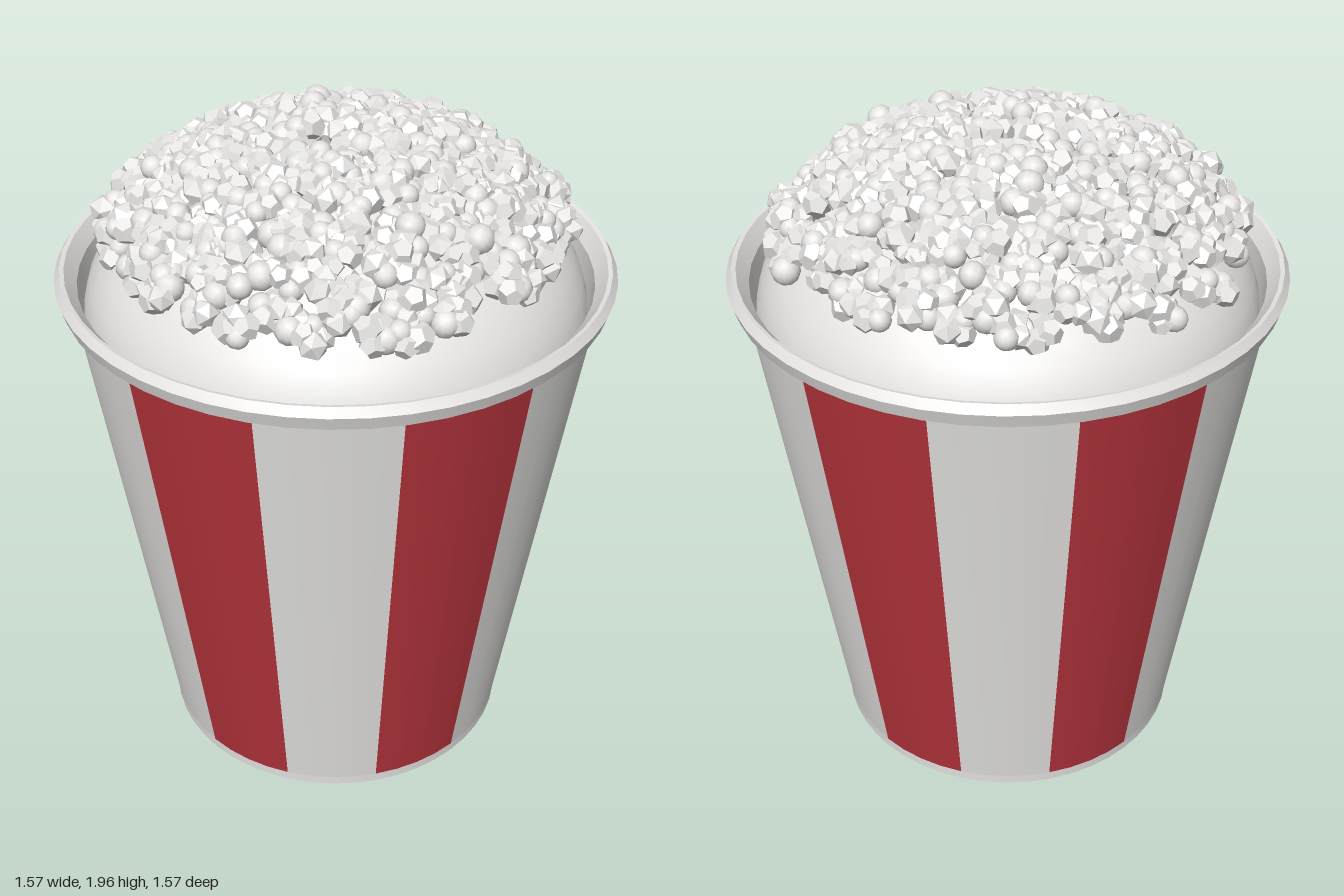
import * as THREE from 'three';
import { mergeGeometries, toCreasedNormals } from 'three/addons/utils/BufferGeometryUtils.js';

const SEGMENTS = 48;
const STRIPES = 12;

function material(name, color, options = {}) {
  const m = new THREE.MeshStandardMaterial({ color, ...options });
  m.name = name;
  return m;
}

function mesh(name, geometry, mat) {
  const m = new THREE.Mesh(geometry, mat);
  m.name = name;
  return m;
}

// Small seeded generator
function seeded(seed) {
  return () => {
    seed = (seed * 16807) % 2147483647;
    return seed / 2147483647;
  };
}

// Turned part with sharp profile corners
function turned(points, segments = SEGMENTS, start = 0, sweep = Math.PI * 2) {
  const profile = points.map(([r, y]) => new THREE.Vector2(r, y));
  return toCreasedNormals(new THREE.LatheGeometry(profile, segments, start, sweep), 0.35);
}

// Heap surface: half an ellipsoid
const HEAP = { radius: 0.71, base: 1.4, height: 0.46 };
const heapY = r => HEAP.base + HEAP.height * Math.sqrt(Math.max(0, 1 - (r / HEAP.radius) ** 2));

// One kernel: a few faceted lumps and one round one, around a small centre
function kernelGeometry(rand) {
  const parts = [];
  const count = 4;
  const turn = rand() * Math.PI * 2;
  for (let i = 0; i < count; i++) {
    const size = 0.031 + rand() * 0.01;
    let lump;
    if (i === 0) {
      lump = new THREE.SphereGeometry(size, 10, 7).toNonIndexed();
    } else if (rand() < 0.6) {
      lump = new THREE.DodecahedronGeometry(size * 1.05);
    } else {
      lump = new THREE.IcosahedronGeometry(size * 1.1);
    }
    lump.rotateX(rand() * 6).rotateZ(rand() * 6);
    const a = turn + (i / count) * Math.PI * 2;
    lump.translate(Math.cos(a) * 0.025, (rand() - 0.4) * 0.035, Math.sin(a) * 0.025);
    parts.push(lump);
  }
  return mergeGeometries(parts);
}

// Kernels spread over the heap on a sunflower spiral
function popcornGeometry() {
  const rand = seeded(4217);
  const total = 260;
  const parts = [];
  const up = new THREE.Vector3(0, 1, 0);
  for (let i = 0; i < total; i++) {
    const r = 0.62 * Math.sqrt((i + 4) / (total + 3)) + (rand() - 0.5) * 0.03;
    const a = i * 2.39996 + (rand() - 0.5) * 0.12;
    const x = r * Math.sin(a), z = r * Math.cos(a);
    const y = heapY(r);
    const normal = new THREE.Vector3(
      x / HEAP.radius ** 2, (y - HEAP.base) / HEAP.height ** 2, z / HEAP.radius ** 2
    ).normalize();
    const lift = 0.02 + rand() * 0.035;
    const kernel = kernelGeometry(rand);
    kernel.applyQuaternion(new THREE.Quaternion().setFromUnitVectors(up, normal));
    kernel.translate(x + normal.x * lift * 0.5, y + normal.y * lift, z + normal.z * lift * 0.5);
    parts.push(kernel);
  }
  return mergeGeometries(parts);
}

export function createModel() {
  const model = new THREE.Group();
  model.name = 'popcornBucket';

  const white = material('paperWhite', 0xe6e5e3, { side: THREE.DoubleSide });
  const red = material('stripeRed', 0xb5343c, { side: THREE.DoubleSide });

  // Base disc with its narrow foot band
  model.add(mesh('base', turned([[0, 0], [0.518, 0], [0.52, 0.03]]), white));

  // Tapered wall in alternating stripes
  const wall = new THREE.Group();
  wall.name = 'wall';
  const sweep = (Math.PI * 2) / STRIPES;
  for (let i = 0; i < STRIPES; i++) {
    const strip = turned([[0.52, 0.03], [0.74, 1.49]], SEGMENTS / STRIPES, i * sweep, sweep);
    wall.add(mesh(i % 2 ? 'redStripe' : 'whiteStripe', strip, i % 2 ? red : white));
  }
  model.add(wall);

  // Rolled lip, sloping inwards, with a short inner wall
  model.add(mesh('rim', turned([
    [0.738, 1.49], [0.77, 1.49], [0.783, 1.53], [0.767, 1.555],
    [0.755, 1.552], [0.722, 1.51], [0.71, 1.4],
  ]), white));

  // Smooth heap beneath the kernels
  const dome = [];
  for (let i = 0; i <= 12; i++) {
    const t = (i / 12) * Math.PI / 2;
    dome.push(new THREE.Vector2(HEAP.radius * Math.cos(t), HEAP.base + HEAP.height * Math.sin(t)));
  }
  model.add(mesh('heap', new THREE.LatheGeometry(dome, SEGMENTS), white));

  // Popcorn kernels
  model.add(mesh('popcorn', popcornGeometry(), white));

  return model;
}
